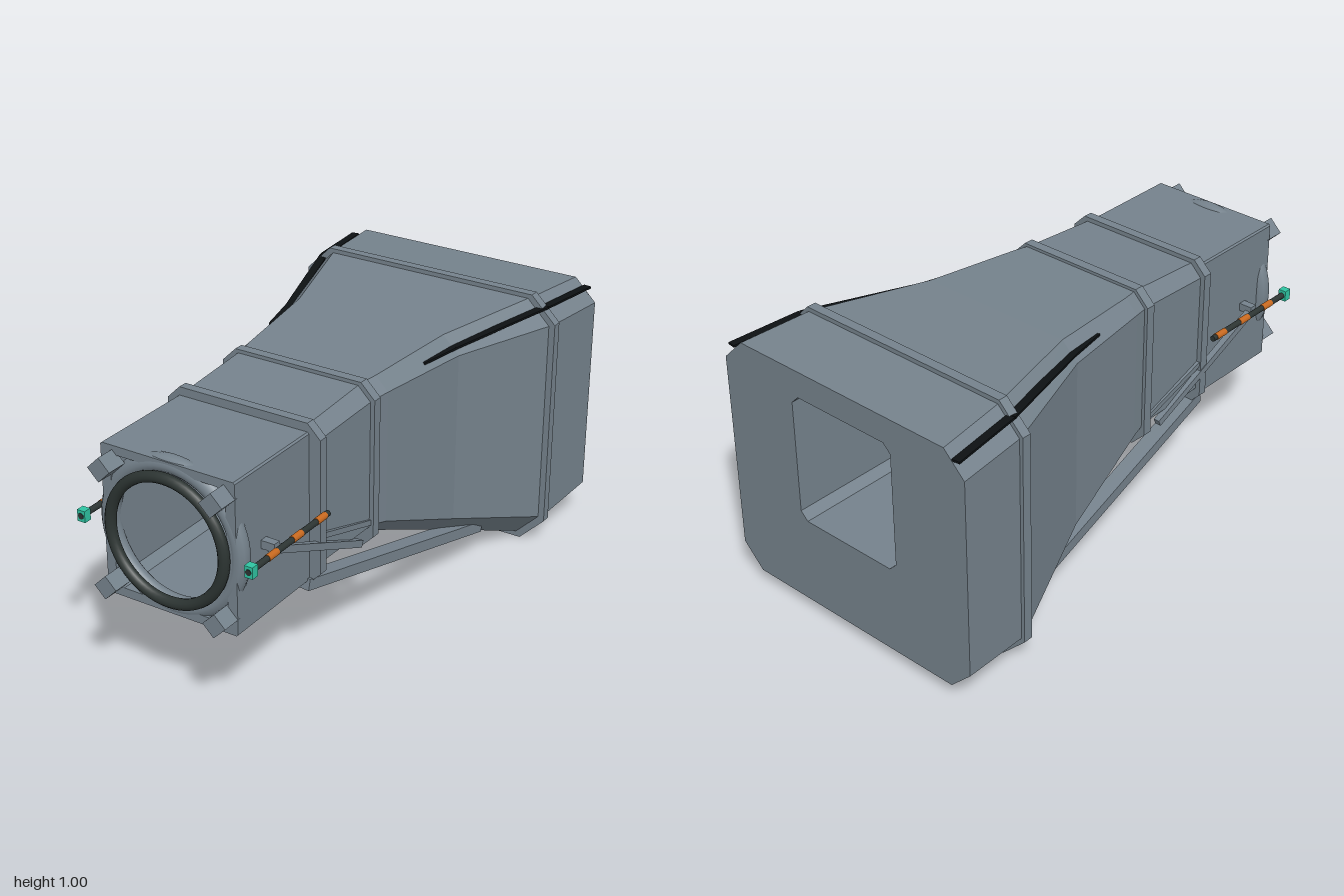
import * as THREE from 'three';

const mat = (name, color, flat = false) =>
  Object.assign(new THREE.MeshStandardMaterial({ color, flatShading: flat }), { name });

// Chamfered rectangle, counter-clockwise seen from the front
const octagon = (hx, yb, yt, c) => [
  [-hx + c, yb], [hx - c, yb], [hx, yb + c], [hx, yt - c],
  [hx - c, yt], [-hx + c, yt], [-hx, yt - c], [-hx, yb + c],
].map(([x, y]) => new THREE.Vector2(x, y));

// Skin through sections [z, halfWidth, bottom, top, chamfer], ordered front to back
function loft(sections, inward = false) {
  const rings = sections.map(([z, ...s]) => octagon(...s).map((p) => [p.x, p.y, z]));
  const pos = [];
  for (let r = 0; r < rings.length - 1; r++) {
    for (let i = 0; i < 8; i++) {
      const j = (i + 1) % 8;
      const a = rings[r][i], b = rings[r][j], c = rings[r + 1][j], d = rings[r + 1][i];
      const quad = inward ? [a, b, c, a, c, d] : [a, d, c, a, c, b];
      quad.forEach((p) => pos.push(...p));
    }
  }
  const g = new THREE.BufferGeometry();
  g.setAttribute('position', new THREE.Float32BufferAttribute(pos, 3));
  g.computeVertexNormals();
  return g;
}

// Chamfered plate pierced by a passage, from z0 to z1
function piercedPlate(outer, hole, z0, z1) {
  const shape = new THREE.Shape(octagon(...outer));
  shape.holes.push(new THREE.Path(octagon(...hole)));
  const g = new THREE.ExtrudeGeometry(shape, { depth: z1 - z0, bevelEnabled: false });
  return g.translate(0, 0, z0);
}

export function createModel() {
  const model = new THREE.Group();
  const hull = mat('hull grey', 0x75828c, true);
  const hullSmooth = hull;
  const rubber = mat('dark rubber', 0x2c3432);
  const black = mat('black trim', 0x0d1113);
  const orange = mat('orange band', 0xc8691f);
  const teal = mat('teal lamp', 0x2fc4a2);
  hull.flatShading = false;

  const add = (name, geo, material, x = 0, y = 0, z = 0, parent = model) => {
    const m = new THREE.Mesh(geo, material);
    m.name = name;
    m.position.set(x, y, z);
    parent.add(m);
    return m;
  };
  // Rectangular bar between two points
  const bar = (name, a, b, w, h, material) => {
    const p = new THREE.Vector3(...a), q = new THREE.Vector3(...b);
    const m = add(name, new THREE.BoxGeometry(w, h, p.distanceTo(q)), material);
    m.position.copy(p).add(q).multiplyScalar(0.5);
    m.lookAt(q);
    return m;
  };

  // Flared hull and the straight passage through it
  add('flaredHull', loft([
    [0.5, 0.287, 0.375, 0.925, 0.045],
    [0.17, 0.295, 0.37, 0.948, 0.05],
    [0.1, 0.308, 0.355, 0.952, 0.05],
    [-0.28, 0.367, 0.19, 0.972, 0.065],
    [-0.7, 0.512, 0.022, 0.992, 0.09],
    [-0.73, 0.52, 0.022, 0.992, 0.09],
    [-1, 0.545, 0.052, 0.98, 0.085],
  ]), hull);
  const passage = [0.225, 0.39, 0.88, 0.03];
  add('passage', loft([[0.5, ...passage], [-1, ...passage]], true), hull);
  add('backWall', piercedPlate([0.545, 0.052, 0.98, 0.085], passage, -1, -0.997), hull);
  add('frontBox', piercedPlate([0.262, 0.357, 0.912, 0.006], passage, 0.49, 0.93), hull);

  // Collars around the hull
  const collarHole = [0.23, 0.385, 0.885, 0.03];
  [
    ['frontCollar', [0.306, 0.345, 0.943, 0.05], 0.48, 0.515],
    ['middleCollar', [0.311, 0.328, 0.96, 0.055], 0.153, 0.19],
    ['rearCollar', [0.533, 0.003, 1.008, 0.098], -0.728, -0.692],
  ].forEach(([name, outer, z0, z1]) => add(name, piercedPlate(outer, collarHole, z0, z1), hull));

  // Docking rings
  add('swellRing', new THREE.TorusGeometry(0.257, 0.033, 12, 64), hullSmooth, 0, 0.635, 0.9);
  add('sealRing', new THREE.TorusGeometry(0.225, 0.02, 12, 64), rubber, 0, 0.635, 0.945);

  for (const s of [1, -1]) {
    // Corner buffers
    for (const y of [0.852, 0.418]) {
      add('cornerBuffer', new THREE.BoxGeometry(0.066, 0.06, 0.08), hull, s * 0.218, y, 0.96)
        .rotation.z = Math.PI / 4;
    }

    // Side braces and their bracket
    bar('sideBrace', [s * 0.3, 0.625, 0.79], [s * 0.294, 0.385, 0.25], 0.024, 0.026, hull);
    bar('crossBrace', [s * 0.29, 0.535, 0.51], [s * 0.292, 0.43, 0.16], 0.02, 0.02, hull);
    add('braceBracket', new THREE.BoxGeometry(0.06, 0.03, 0.03), hull, s * 0.284, 0.632, 0.78);

    // Beams beneath the flare
    bar('lowerBeam', [s * 0.243, 0.352, 0.53], [s * 0.352, 0.135, -0.48], 0.06, 0.042, hull);

    // Striped probe with a lamp at its tip
    const probe = new THREE.Group();
    probe.name = 'probe';
    probe.position.set(s * 0.332, 0.635, 0);
    model.add(probe);
    const rod = (name, z0, z1, r, m) =>
      add(name, new THREE.CylinderGeometry(r, r, z1 - z0, 16).rotateX(Math.PI / 2), m, 0, 0, (z0 + z1) / 2, probe);
    rod('probeRod', 0.51, 0.94, 0.011, rubber);
    for (const z of [0.555, 0.695, 0.835]) rod('probeBand', z - 0.027, z + 0.027, 0.0125, orange);
    add('probeLamp', new THREE.BoxGeometry(0.031, 0.042, 0.03), teal, 0, 0, 0.95, probe);
    rod('lampSocket', 0.96, 0.967, 0.011, rubber);

    // Thin trim along the upper edges
    const trim = [
      [0.31, 0.927, -0.12], [0.345, 0.934, -0.28], [0.478, 0.962, -0.72], [0.51, 0.952, -1],
    ].map(([x, y, z]) => [s * x, y, z]);
    for (let i = 0; i < 3; i++) bar('edgeTrim', trim[i], trim[i + 1], 0.03, 0.008, black);
  }
  return model;
}
